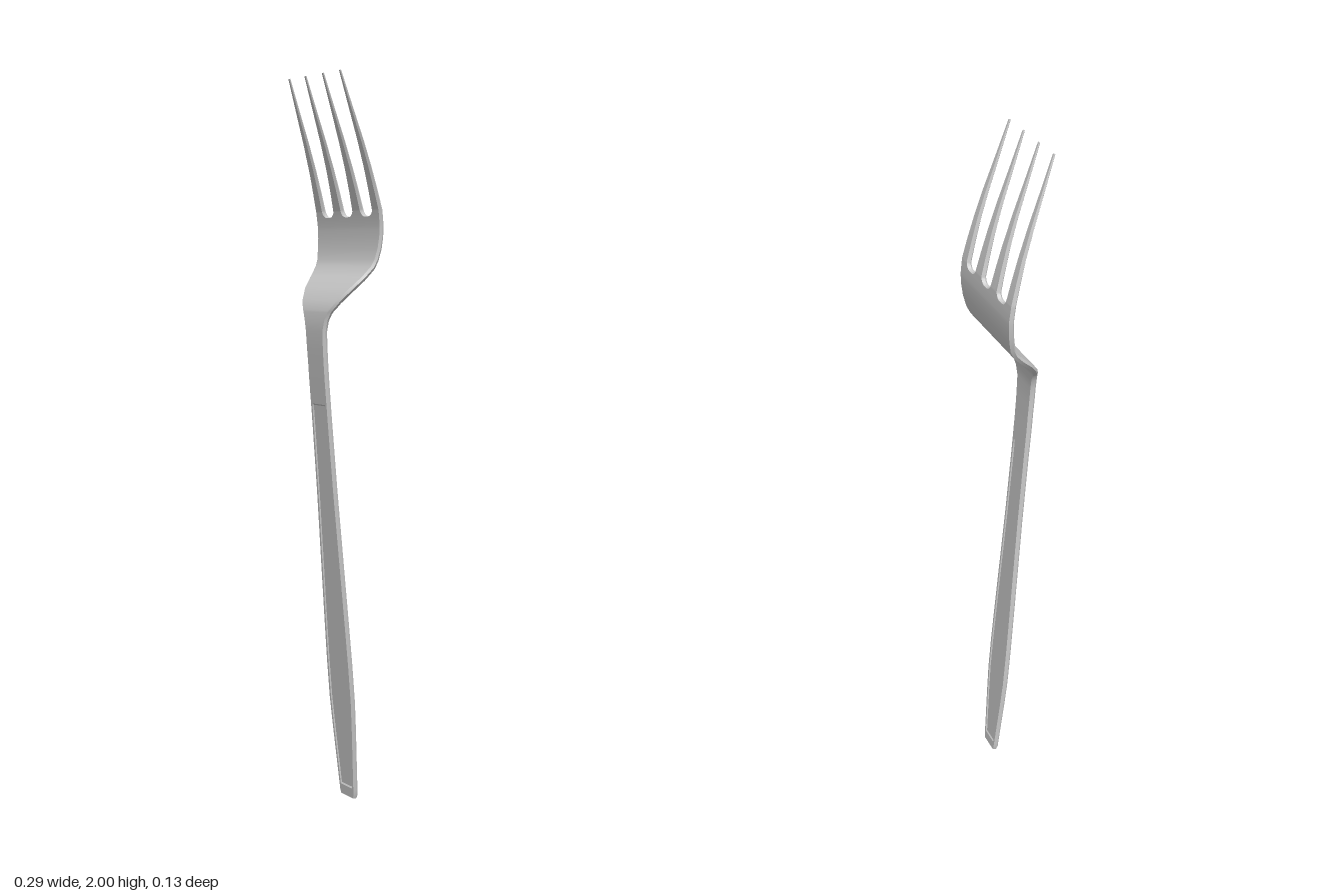
import * as THREE from 'three';
import { toCreasedNormals } from 'three/addons/utils/BufferGeometryUtils.js';

// Side profile [y, z], thickness [y, t] and half width [y, x]
const BEND = [[0, -0.057], [1.2, 0.048], [1.28, 0.054], [1.33, 0.057], [1.36, 0.056], [1.385, 0.052], [1.41, 0.04],
  [1.44, 0.017], [1.475, -0.017], [1.5, -0.038], [1.52, -0.047], [1.55, -0.053], [1.58, -0.056], [1.61, -0.056],
  [1.65, -0.051], [1.7, -0.038], [1.76, -0.021], [1.83, 0.002], [1.91, 0.031], [2, 0.063]];
const THICKNESS = [[0, 0.015], [1.1, 0.015], [1.36, 0.016], [1.5, 0.014], [1.65, 0.013], [1.85, 0.008], [2, 0.004]];
const WIDTH = [[0, 0.033], [0.012, 0.037], [0.1, 0.043], [0.2, 0.05], [0.29, 0.055], [0.4, 0.055], [0.5, 0.053],
  [0.7, 0.048], [0.9, 0.043], [1.1, 0.041], [1.25, 0.041], [1.33, 0.043], [1.36, 0.05], [1.38, 0.06], [1.4, 0.076],
  [1.44, 0.104], [1.47, 0.119], [1.5, 0.129], [1.55, 0.138], [1.6, 0.142], [1.65, 0.143], [1.7, 0.14],
  [1.8, 0.133], [1.9, 0.124], [2, 0.115]];
const SLOT_Y = 1.635, SLOT_R = 0.02;
const PANEL = [0.03, 1.13];

// Straight interpolation in a table of [y, value]
function at(table, y) {
  let i = 1;
  while (i < table.length - 1 && y > table[i][0]) i++;
  const [y0, a] = table[i - 1], [y1, b] = table[i];
  return a + (b - a) * (y - y0) / (y1 - y0);
}

// Bar lofted through rows { y, l, r, d }: left and right edges, and panel depth d
function bar(name, rows, material) {
  const pos = [], index = [], N = 14;
  for (const { y, l, r, d = 0 } of rows) {
    const slope = (at(BEND, Math.min(y + 0.012, 2)) - at(BEND, Math.max(y - 0.012, 0)))
      / (Math.min(y + 0.012, 2) - Math.max(y - 0.012, 0));
    const len = Math.hypot(1, slope), h = at(THICKNESS, y) / 2;
    const k = Math.min(0.006, 0.2 * (r - l));
    const front = [[l + k, h], [l + 2 * k, h], [l + 2.4 * k, h - d], [r - 2.4 * k, h - d], [r - 2 * k, h], [r - k, h]];
    const back = front.map(([x, n]) => [x, -n]).reverse();
    for (const [x, n] of [...front, [r, 0.2 * h], ...back, [l, 0.2 * h]]) {
      pos.push(x, y - n * slope / len, at(BEND, y) + n / len);
    }
  }
  for (let j = 0; j < rows.length - 1; j++) {
    for (let i = 0; i < N; i++) {
      const a = j * N + i, b = j * N + (i + 1) % N;
      index.push(a, b, b + N, a, b + N, a + N);
    }
  }
  // End caps
  const top = (rows.length - 1) * N;
  for (let i = 1; i < N - 1; i++) index.push(0, i + 1, i, top, top + i, top + i + 1);
  const geometry = new THREE.BufferGeometry();
  geometry.setAttribute('position', new THREE.Float32BufferAttribute(pos, 3));
  geometry.setIndex(index);
  const mesh = new THREE.Mesh(toCreasedNormals(geometry, 0.45), material);
  mesh.name = name;
  return mesh;
}

// All heights where a table bends, between two limits
function levels(from, to, extra = []) {
  const ys = [from, to, ...extra, ...BEND.map(p => p[0]), ...WIDTH.map(p => p[0])];
  return [...new Set(ys)].filter(y => y >= from && y <= to).sort((a, b) => a - b);
}

export function createModel() {
  const group = new THREE.Group();
  group.name = 'fork';
  const steel = new THREE.MeshStandardMaterial({ color: 0xcccccc });
  const full = (y, d = 0) => ({ y, l: -at(WIDTH, y), r: at(WIDTH, y), d });

  // Handle with a shallow recessed panel on both faces
  const depth = 0.003;
  const handleRows = levels(0, 1.25, [PANEL[0], PANEL[0] + 0.004, PANEL[1], PANEL[1] + 0.004])
    .map(y => full(y, y > PANEL[0] && y <= PANEL[1] ? depth : 0));
  group.add(bar('handle', handleRows, steel));

  // Neck and bowl up to the bottom of the slots
  group.add(bar('neckAndBowl', levels(1.25, SLOT_Y).map(y => full(y)), steel));

  // Slot edges: a round bottom, then straight sides that open toward the tips
  const slotEdge = (centre, side, tipX) => y => {
    const rise = y - SLOT_Y;
    if (rise < SLOT_R) return centre + side * Math.sqrt(Math.max(0, SLOT_R ** 2 - (SLOT_R - rise) ** 2));
    const base = centre + side * SLOT_R;
    return base + (tipX - base) * (rise - SLOT_R) / (2 - SLOT_Y - SLOT_R);
  };
  const tines = {
    innerTine: [slotEdge(0, 1, 0.035), slotEdge(0.084, -1, 0.042)],
    outerTine: [slotEdge(0.084, 1, 0.108), y => at(WIDTH, y)],
  };
  const arc = [0.0008, 0.003, 0.0065, 0.012, SLOT_R].map(s => SLOT_Y + s);
  const ys = levels(SLOT_Y, 2, arc);
  for (const [name, [inner, outer]] of Object.entries(tines)) {
    group.add(bar(name + 'Left', ys.map(y => ({ y, l: inner(y), r: outer(y) })), steel));
    group.add(bar(name + 'Right', ys.map(y => ({ y, l: -outer(y), r: -inner(y) })), steel));
  }
  return group;
}
